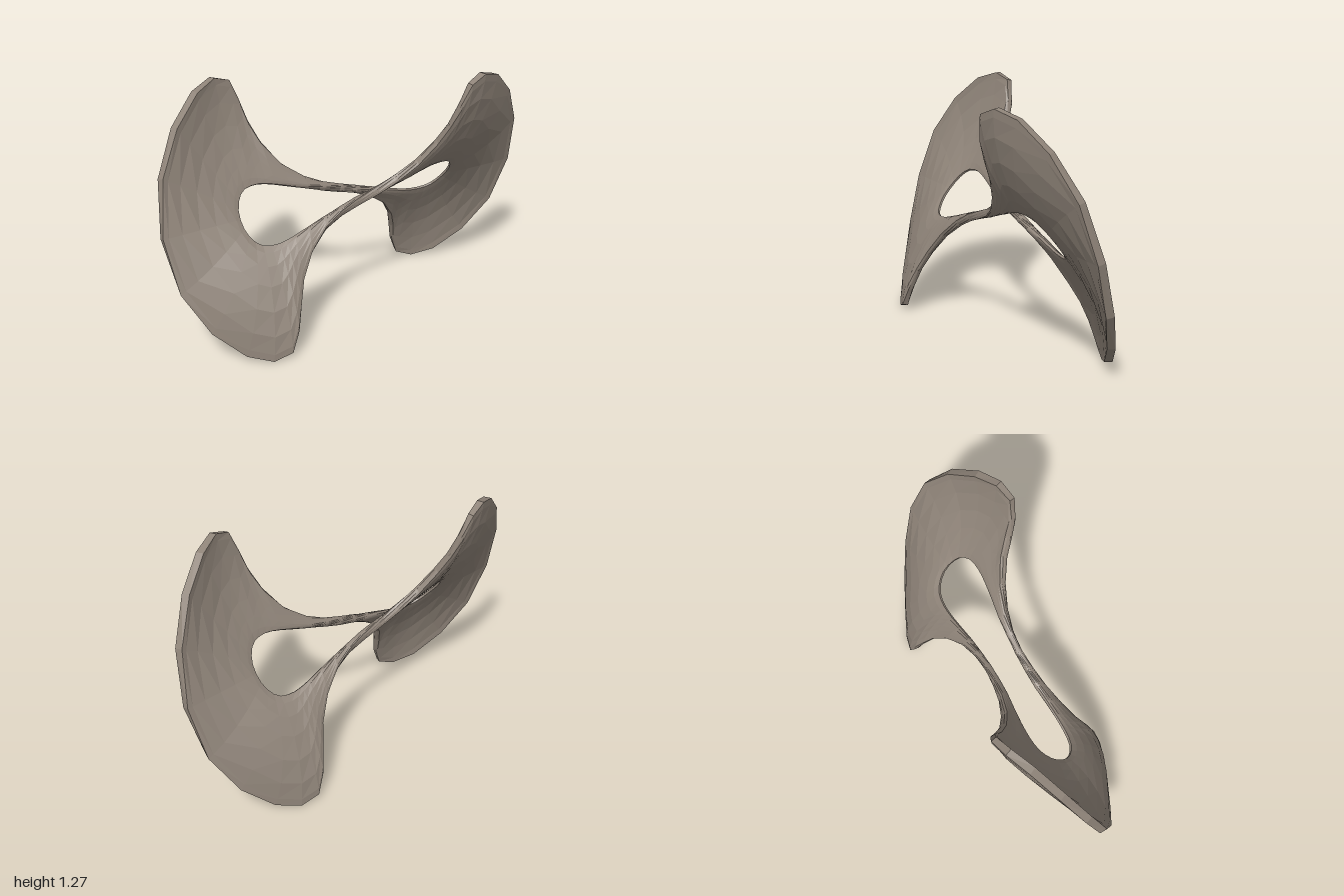
import * as THREE from 'three';

// One quarter of the twisted band: hole edge and rim, relative to the centre
const INNER = [
  [0.6, 0, 0], [0.596, 0.035, 0.03], [0.582, 0.068, 0.056], [0.56, 0.095, 0.078],
  [0.53, 0.112, 0.095], [0.49, 0.118, 0.104], [0.45, 0.117, 0.107], [0.41, 0.11, 0.106],
  [0.365, 0.098, 0.103], [0.285, 0.073, 0.095], [0.19, 0.045, 0.084], [0.095, 0.021, 0.075], [0, 0, 0.07],
];
const OUTER = [
  [1, 0, 0], [0.957, 0.268, 0.078], [0.842, 0.47, 0.162], [0.7, 0.598, 0.24],
  [0.585, 0.635, 0.296], [0.495, 0.602, 0.32], [0.453, 0.503, 0.304], [0.423, 0.397, 0.265],
  [0.383, 0.295, 0.217], [0.305, 0.18, 0.166], [0.2, 0.092, 0.129], [0.1, 0.038, 0.112], [0, 0, 0.107],
];
// How far the face bows out between hole and rim, and half the rim thickness
const BOW = [0, 0.028, 0.05, 0.056, 0.047, 0.034, 0.025, 0.018, 0.012, 0.006, 0, 0, 0]
  .map((z) => [0, 0, z]);
const RIM = [0.02, 0.02, 0.02, 0.02, 0.018, 0.015, 0.011, 0.008, 0.007, 0.007, 0.007, 0.007, 0.007]
  .map((t) => [t, 0, 0]);
const ROWS = [0, 0.06, 0.17, 0.33, 0.54, 0.76, 0.93, 1]; // positions across the band
const HALF = [0.006, 0.013, 0.018, 0.02, 0.021, 0.021, 0.019]; // half thickness of all rows but the rim
const CENTRE_Y = 0.6375;

// Repeat the quarter by half turns about the three axes to close the loop
function closeLoop(quarter) {
  const turn = (sx, sy, sz) => quarter.map(([x, y, z]) => new THREE.Vector3(x * sx, y * sy, z * sz));
  return [
    ...turn(1, 1, 1),
    ...turn(-1, -1, 1).reverse().slice(1),
    ...turn(-1, 1, -1).slice(1),
    ...turn(1, -1, -1).reverse().slice(1, -1),
  ];
}

function bandGeometry() {
  const inner = closeLoop(INNER), outer = closeLoop(OUTER), bow = closeLoop(BOW), rim = closeLoop(RIM);
  const n = inner.length, rows = ROWS.length, ring = rows * 2;
  // Point of the middle surface at station i, fraction v from hole to rim
  const mid = (i, v) => {
    const s = (i + n) % n;
    return inner[s].clone().lerp(outer[s], v).addScaledVector(bow[s], 4 * v * (1 - v));
  };
  const positions = [], index = [];

  for (let i = 0; i < n; i++) {
    // Up one face from hole to rim, then back along the other
    for (let k = 0; k < ring; k++) {
      const r = k < rows ? k : ring - 1 - k, v = ROWS[r];
      const across = mid(i, v + 0.01).sub(mid(i, v - 0.01));
      const along = mid(i + 1, v).sub(mid(i - 1, v));
      const normal = along.cross(across).normalize();
      const half = r === rows - 1 ? Math.abs(rim[i].x) : HALF[r];
      const p = mid(i, v).addScaledVector(normal, k < rows ? half : -half);
      positions.push(p.x, p.y + CENTRE_Y, p.z);
    }
  }
  for (let i = 0; i < n; i++) {
    for (let k = 0; k < ring; k++) {
      const i2 = (i + 1) % n, k2 = (k + 1) % ring;
      const a = i * ring + k, b = i2 * ring + k, c = i2 * ring + k2, d = i * ring + k2;
      index.push(a, b, c, a, c, d);
    }
  }
  const geometry = new THREE.BufferGeometry();
  geometry.setAttribute('position', new THREE.Float32BufferAttribute(positions, 3));
  geometry.setIndex(index);
  const faceted = geometry.toNonIndexed();
  faceted.computeVertexNormals();
  return faceted;
}

export function createModel() {
  const stone = new THREE.MeshStandardMaterial({ color: 0x8f8479, flatShading: true });
  stone.name = 'warm grey';

  const model = new THREE.Group();
  model.name = 'twistedSculpture';
  const band = new THREE.Mesh(bandGeometry(), stone);
  band.name = 'twistedBand';
  model.add(band);
  return model;
}
